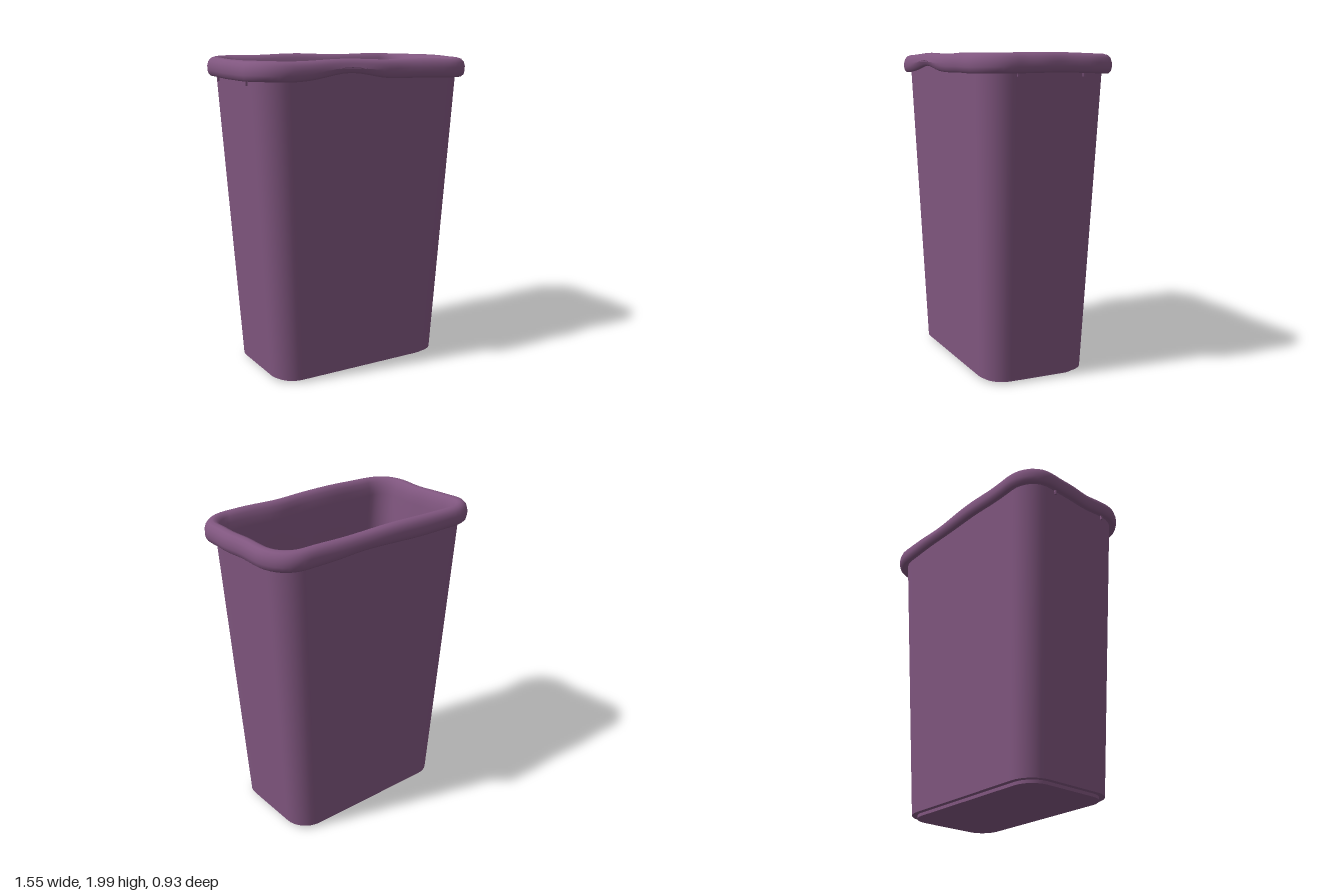
import * as THREE from 'three';

const CORNER = 8, SIDE = 20;
const material = new THREE.MeshStandardMaterial({ color: 0x80567f });

// Rounded rectangle in the xz plane, with evenly divided sides
function ring({ y, hx, hz, r = 0 }) {
  const pts = [];
  const corners = [[1, 1], [-1, 1], [-1, -1], [1, -1]];
  const at = (k, t) => {
    const [sx, sz] = corners[k % 4], a = (k % 4 + t) * Math.PI / 2;
    return new THREE.Vector3(sx * (hx - r) + r * Math.cos(a), y, sz * (hz - r) + r * Math.sin(a));
  };
  for (let k = 0; k < 4; k++) {
    for (let i = 0; i < CORNER; i++) pts.push(at(k, i / CORNER));
    const a = at(k, 1), b = at(k + 1, 0);
    for (let i = 0; i < SIDE; i++) pts.push(a.clone().lerp(b, i / SIDE));
  }
  return pts;
}

// Smooth skin through a list of rounded rectangles, optionally deformed
function loft(name, sections, deform) {
  const position = [], index = [];
  const n = 4 * (CORNER + SIDE);
  sections.forEach((s, j) => {
    for (const p of ring(s)) {
      if (deform) deform(p, s);
      position.push(p.x, p.y, p.z);
    }
    if (j === 0) return;
    for (let i = 0; i < n; i++) {
      const a = (j - 1) * n + i, b = (j - 1) * n + (i + 1) % n;
      index.push(a, a + n, b, b, a + n, b + n);
    }
  });
  const geometry = new THREE.BufferGeometry();
  geometry.setAttribute('position', new THREE.Float32BufferAttribute(position, 3));
  geometry.setIndex(index);
  geometry.computeVertexNormals();
  const mesh = new THREE.Mesh(geometry, material);
  mesh.name = name;
  return mesh;
}

const bump = (x, centre, width) => Math.exp(-(((x - centre) / width) ** 2));

// Soft, uneven folds of the bag where it rolls over the mouth
function crumple(p, s) {
  const { x, z } = p;
  const k = s.fold ?? 1;
  const front = z > 0.3 ? 1 : 0, back = z < -0.3 ? 1 : 0;
  p.y += k * (0.006 * Math.sin(4.5 * x + 2.6) * Math.cos(2 * z) + 0.003 * Math.sin(11 * x + 9 * z) - 0.006 * x);
  if (s.under) p.y += front * 0.035 * bump(x, -0.16, 0.2) + back * 0.015 * bump(x, 0.2, 0.2);
  p.z += k * (-0.014 * front * bump(x, 0.2, 0.14) + 0.008 * back * bump(x, 0.2, 0.15)
    + 0.003 * Math.sin(13 * x + 1));
  p.x += k * (0.005 * Math.sin(9 * z + 1) + 0.003 * Math.sin(23 * z));
}

export function createModel() {
  const group = new THREE.Group();
  group.name = 'wasteBin';

  // Tapered shell standing on a slightly inset foot
  const shell = new THREE.Group();
  shell.name = 'shell';
  const foot = { hx: 0.565, hz: 0.312, r: 0.13 };
  const base = { y: 0.02, hx: 0.595, hz: 0.343, r: 0.15 };
  shell.add(
    loft('footUnderside', [{ y: 0, hx: 0, hz: 0 }, { y: 0, ...foot }]),
    loft('footEdge', [{ y: 0, ...foot }, { y: 0.02, ...foot }]),
    loft('baseStep', [{ y: 0.02, ...foot }, base]),
    loft('outerWall', [base, { y: 1.91, hx: 0.714, hz: 0.41, r: 0.17 }]),
  );
  shell.position.x = -0.01;
  group.add(shell);

  // Bag rolled over the mouth: offset from the roll's centre line, and height
  const roll = [
    [-0.02, 1.895], [0.01, 1.874], [0.032, 1.87], [0.046, 1.882], [0.052, 1.905], [0.052, 1.932],
    [0.044, 1.96], [0.026, 1.979], [0.002, 1.986], [-0.02, 1.98], [-0.038, 1.96], [-0.05, 1.925], [-0.058, 1.88],
  ].map(([d, y], i) => ({ y, hx: 0.718 + d, hz: 0.408 + d, r: 0.17 + d, under: i < 5 }));

  // Lining continues down the inside to a flat floor
  const floor = { y: 0.05, hx: 0.528, hz: 0.287, r: 0.11, fold: 0 };
  group.add(
    loft('rolledRimAndLining', [
      ...roll,
      { y: 1.7, hx: 0.645, hz: 0.345, r: 0.12, fold: 0.8 },
      { y: 1.0, hx: 0.59, hz: 0.318, r: 0.12, fold: 0.5 },
      floor,
    ], crumple),
    loft('liningFloor', [floor, { y: 0.05, hx: 0, hz: 0 }]),
  );

  // Small tabs under the rim on both ends
  for (const sx of [-1, 1]) for (const sz of [-1, 1]) {
    const tab = new THREE.Mesh(new THREE.BoxGeometry(0.012, 0.06, 0.012), material);
    tab.name = 'rimTab';
    tab.position.set(sx * 0.725 - 0.012, 1.875, sz * 0.21);
    group.add(tab);
  }
  return group;
}
